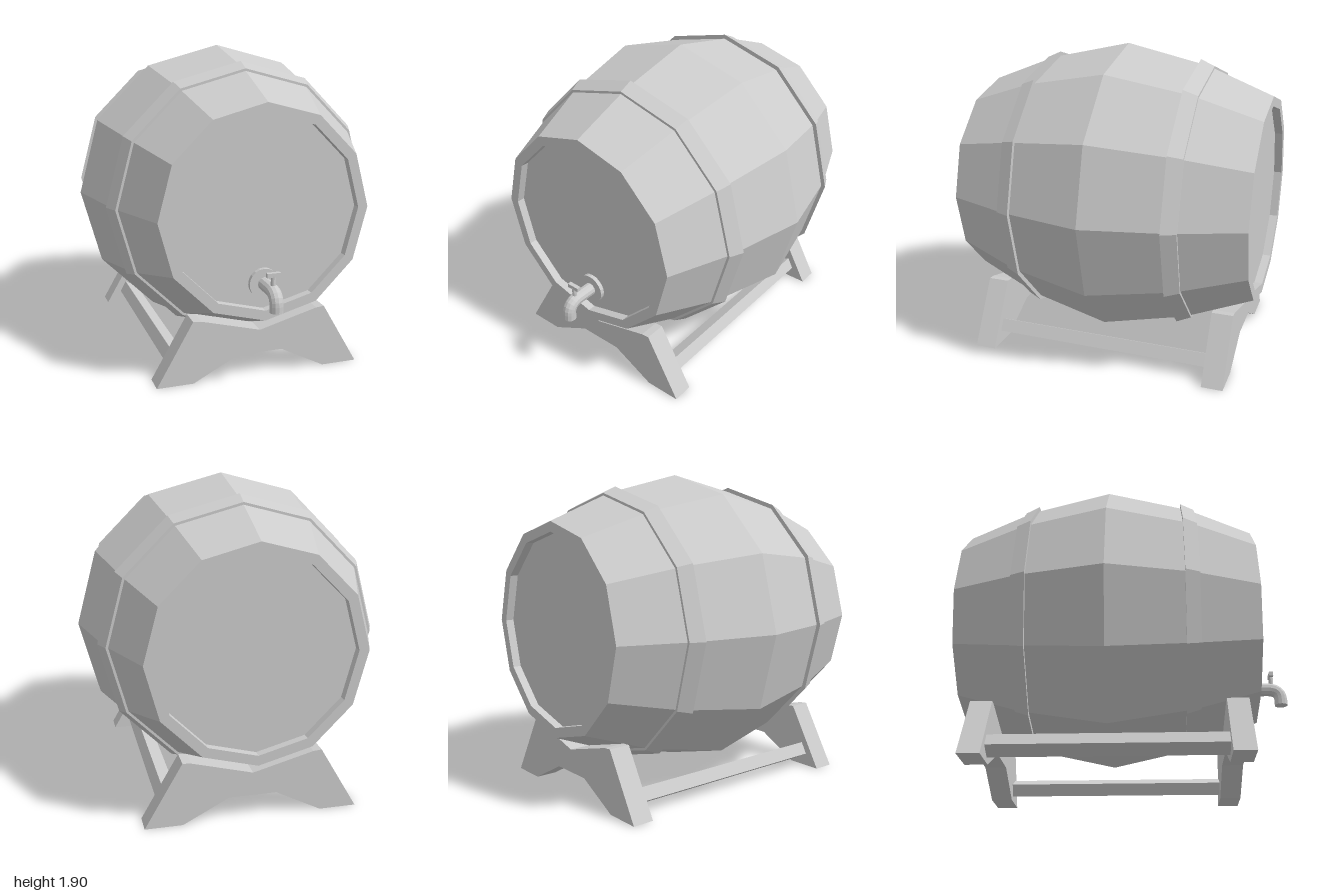
import * as THREE from 'three';

const material = new THREE.MeshStandardMaterial({ color: 0xcccccc, flatShading: true });
const MID_Z = -0.1; // middle of the barrel along its axis
const AXIS_Y = 1;

function addMesh(parent, name, geometry, x = 0, y = 0, z = 0) {
  const mesh = new THREE.Mesh(geometry, material);
  mesh.name = name;
  mesh.position.set(x, y, z);
  parent.add(mesh);
  return mesh;
}

// Twelve-sided solid turned around the barrel axis; points are [radius, z from the middle], back to front
function turned(points) {
  const profile = points.map(([r, z]) => new THREE.Vector2(r, z));
  return new THREE.LatheGeometry(profile, 12).rotateX(Math.PI / 2);
}

function mirroredProfile(half) {
  return [...half, ...half.slice().reverse().map(([r, z]) => [r, -z])];
}

function createBarrel() {
  const barrel = new THREE.Group();
  barrel.name = 'barrel';
  barrel.position.set(0, AXIS_Y, MID_Z);

  // Staves with a raised rim around each recessed head
  const half = [[0, -0.85], [0.57, -0.85], [0.57, -0.9], [0.63, -0.9], [0.788, -0.5]];
  const points = mirroredProfile(half);
  points.splice(half.length, 0, [0.9, 0]);
  addMesh(barrel, 'stavesAndHeads', turned(points));

  // Hoops, thicker towards the middle
  addMesh(barrel, 'frontHoop', turned([[0.76, 0.455], [0.825, 0.455], [0.787, 0.54], [0.74, 0.54]]));
  addMesh(barrel, 'backHoop', turned([[0.74, -0.54], [0.787, -0.54], [0.825, -0.455], [0.76, -0.455]]));
  return barrel;
}

function createStand() {
  const stand = new THREE.Group();
  stand.name = 'stand';

  // Cradle outline: splayed feet, arched underside, notch for the barrel
  const right = [[0.14, 0.14], [0.41, 0], [0.63, 0], [0.41, 0.38], [0.36, 0.376]];
  const left = right.slice().reverse().map(([x, y]) => [-x, y]);
  const outline = [...right, [0, 0.28], ...left];
  const shape = new THREE.Shape(outline.map(([x, y]) => new THREE.Vector2(x, y)));
  const cradle = new THREE.ExtrudeGeometry(shape, { depth: 0.13, bevelEnabled: false });
  addMesh(stand, 'frontCradle', cradle, 0, 0, 0.585);
  addMesh(stand, 'backCradle', cradle, 0, 0, -0.9);

  // Side rails tilted to follow the splay of the feet
  for (const side of [-1, 1]) {
    const rail = addMesh(stand, side > 0 ? 'leftRail' : 'rightRail',
      new THREE.BoxGeometry(0.1, 0.08, 1.4), side * 0.47, 0.09, MID_Z);
    rail.rotation.z = side * (Math.PI / 2 + 0.5);
    rail.geometry = new THREE.BoxGeometry(0.08, 0.1, 1.4);
  }
  return stand;
}

function createTap() {
  const tap = new THREE.Group();
  tap.name = 'tap';
  tap.position.y = 0.585;

  const flange = new THREE.CylinderGeometry(0.09, 0.09, 0.03, 20).rotateX(Math.PI / 2);
  addMesh(tap, 'flange', flange, 0, 0, 0.76);

  // Spout runs forward, then bends down
  const v = (y, z) => new THREE.Vector3(0, y, z);
  const path = new THREE.CurvePath();
  path.add(new THREE.LineCurve3(v(0, 0.74), v(0, 0.88)));
  path.add(new THREE.QuadraticBezierCurve3(v(0, 0.88), v(0, 0.96), v(-0.07, 0.96)));
  path.add(new THREE.LineCurve3(v(-0.07, 0.96), v(-0.105, 0.96)));
  addMesh(tap, 'spout', new THREE.TubeGeometry(path, 16, 0.04, 12));
  addMesh(tap, 'spoutEnd', new THREE.CircleGeometry(0.04, 12).rotateX(Math.PI / 2), 0, -0.105, 0.96);

  // T-shaped handle
  addMesh(tap, 'handleStem', new THREE.CylinderGeometry(0.014, 0.014, 0.07, 10), 0, 0.055, 0.907);
  addMesh(tap, 'handleBar', new THREE.BoxGeometry(0.08, 0.025, 0.025), 0, 0.095, 0.907);
  return tap;
}

export function createModel() {
  const model = new THREE.Group();
  model.name = 'barrelOnStand';
  model.add(createBarrel(), createStand(), createTap());
  return model;
}
